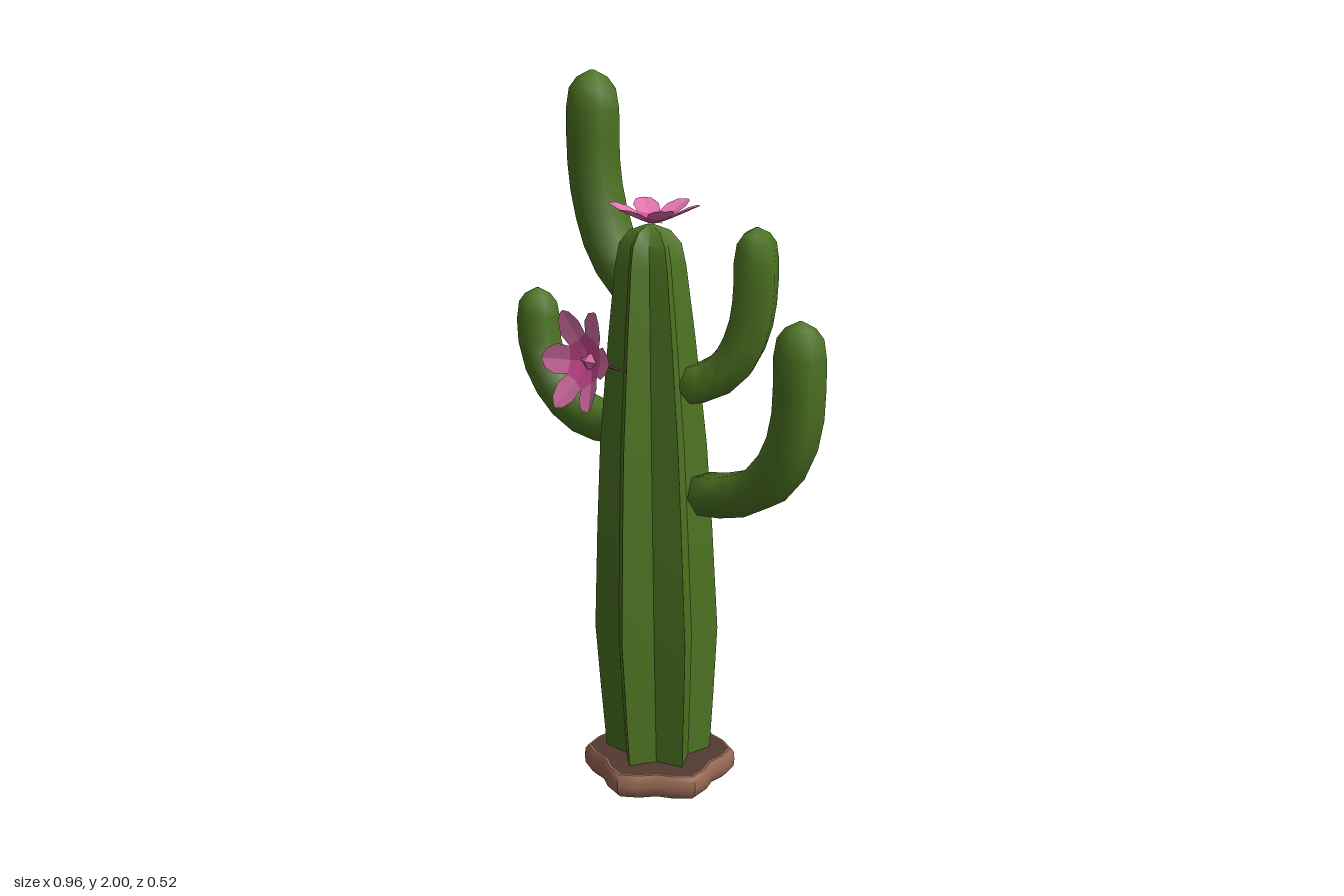
import * as THREE from 'three';
import { toCreasedNormals } from 'three/addons/utils/BufferGeometryUtils.js';

const mat = (name, color, extra = {}) =>
  Object.assign(new THREE.MeshStandardMaterial({ color, ...extra }), { name });

// Skin a list of closed rings (arrays of Vector3) and cap both ends.
function loft(rings) {
  const n = rings[0].length, pos = [], idx = [];
  rings.forEach(r => r.forEach(p => pos.push(p.x, p.y, p.z)));
  for (let i = 0; i < rings.length - 1; i++) {
    for (let j = 0; j < n; j++) {
      const a = i * n + j, b = i * n + (j + 1) % n;
      idx.push(a, b, a + n, b, b + n, a + n);
    }
  }
  [0, rings.length - 1].forEach((ri, end) => {
    const c = rings[ri].reduce((s, p) => s.add(p), new THREE.Vector3()).divideScalar(n);
    const k = pos.length / 3;
    pos.push(c.x, c.y, c.z);
    for (let j = 0; j < n; j++) {
      const a = ri * n + j, b = ri * n + (j + 1) % n;
      if (end) idx.push(k, a, b); else idx.push(k, b, a);
    }
  });
  const g = new THREE.BufferGeometry();
  g.setAttribute('position', new THREE.Float32BufferAttribute(pos, 3));
  g.setIndex(idx);
  g.computeVertexNormals();
  return g;
}

// Horizontal ring whose radius depends on the angle; ribs sit at 20 + 60k degrees.
function ribRing(n, cx, y, cz, radius) {
  return Array.from({ length: n }, (_, j) => {
    const a = j / n * Math.PI * 2, t = a - Math.PI / 9, r = radius(a, j);
    return new THREE.Vector3(cx + r * Math.cos(t), y, cz - r * Math.sin(t));
  });
}

// Six-sided arm bent along a curve, with a domed tip.
function armGeometry(points, radius) {
  const curve = new THREE.CatmullRomCurve3(points.map(p => new THREE.Vector3(...p)));
  const first = points[0], last = points[points.length - 1];
  const side = new THREE.Vector3(last[0] - first[0], 0, last[2] - first[2])
    .normalize().cross(new THREE.Vector3(0, 1, 0));
  const ring = (c, t, r) => {
    const v = t.clone().cross(side).normalize();
    return Array.from({ length: 6 }, (_, j) => {
      const a = j / 6 * Math.PI * 2;
      return c.clone().addScaledVector(side, r * Math.cos(a)).addScaledVector(v, r * Math.sin(a));
    });
  };
  const rings = [];
  for (let i = 0; i <= 8; i++) {
    rings.push(ring(curve.getPointAt(i / 8), curve.getTangentAt(i / 8), radius * (0.9 + 0.1 * Math.min(1, i / 3))));
  }
  const end = new THREE.Vector3(...last), up = new THREE.Vector3(0, 1, 0);
  [[0.75, 0.88], [1.15, 0.58], [1.4, 0.08]].forEach(([h, r]) =>
    rings.push(ring(end.clone().addScaledVector(up, h * radius), up, r * radius)));
  return loft(rings);
}

// One folded strip of a petal; rows are [distance, half width, lift].
function petalGeometry(rows) {
  const pos = [], idx = [];
  rows.forEach(([d, w, h]) => pos.push(d, -w, h + w * 0.2, d, 0, h, d, w, h + w * 0.2));
  for (let i = 0; i < rows.length - 1; i++) {
    for (let j = 0; j < 2; j++) {
      const a = i * 3 + j;
      idx.push(a, a + 3, a + 1, a + 1, a + 3, a + 4);
    }
  }
  const g = new THREE.BufferGeometry();
  g.setAttribute('position', new THREE.Float32BufferAttribute(pos, 3));
  g.setIndex(idx);
  const flat = g.toNonIndexed();
  flat.computeVertexNormals();
  return flat;
}

export function createModel() {
  const green = mat('cactusGreen', 0x4d7322);
  const clay = mat('clayBrown', 0x996953);
  const soilBrown = mat('soilBrown', 0x523a31, { side: THREE.DoubleSide });
  const pink = mat('petalPink', 0xe074ac, { side: THREE.DoubleSide });
  const magenta = mat('petalMagenta', 0xd44c99, { side: THREE.DoubleSide });

  const model = new THREE.Group();
  const add = (name, geometry, material, parent = model) => {
    const m = new THREE.Mesh(geometry, material);
    m.name = name;
    parent.add(m);
    return m;
  };

  // Lobed base slab with a soil top
  const lobe = k => a => k * (0.202 + 0.018 * Math.cos(6 * a));
  const slab = [[0, 0.93], [0.012, 0.99], [0.035, 1], [0.058, 0.99], [0.07, 0.95], [0.07, 0.92]];
  add('base', toCreasedNormals(loft(slab.map(([y, k]) => ribRing(24, -0.008, y, -0.047, lobe(k)))), 0.8), clay);
  add('soil', loft([0.066, 0.072].map(y => ribRing(24, -0.008, y, -0.047, lobe(0.92)))), soilBrown);

  // Ribbed trunk: [height, rib radius]
  const profile = [[0.06, 0.15], [0.25, 0.163], [0.45, 0.175], [0.75, 0.162], [1.0, 0.148],
    [1.3, 0.119], [1.5, 0.096], [1.56, 0.084], [1.595, 0.055], [1.61, 0.012]];
  const trunk = profile.map(([y, r]) => ribRing(12, -0.012 - 0.012 * y, y, -0.047 + 0.01 * y,
    (a, j) => (j % 2 ? 0.68 : 1) * r));
  add('trunk', toCreasedNormals(loft(trunk), 0.7), green);

  // Arms
  const arms = {
    tallRightArm: [[[-0.06, 1.42, -0.06], [-0.13, 1.44, -0.06], [-0.2, 1.52, -0.06],
      [-0.245, 1.64, -0.055], [-0.263, 1.76, -0.052], [-0.263, 1.895, -0.05]], 0.074],
    lowRightArm: [[[-0.08, 1.04, -0.04], [-0.19, 1.03, -0.02], [-0.29, 1.055, -0.005],
      [-0.37, 1.12, 0.005], [-0.42, 1.21, 0.01], [-0.43, 1.3, 0.01]], 0.062],
    highLeftArm: [[[0.03, 1.17, -0.09], [0.1, 1.185, -0.13], [0.155, 1.24, -0.165],
      [0.19, 1.33, -0.185], [0.205, 1.42, -0.19], [0.207, 1.52, -0.19]], 0.064],
    lowLeftArm: [[[0.09, 0.86, -0.11], [0.2, 0.88, -0.115], [0.3, 0.925, -0.12],
      [0.375, 1.02, -0.125], [0.406, 1.14, -0.13], [0.408, 1.3, -0.13]], 0.07],
  };
  for (const [name, [points, radius]] of Object.entries(arms)) add(name, armGeometry(points, radius), green);

  // Flowers: six cupped petals with a deeper throat and a pale heart
  const throat = petalGeometry([[0.005, 0.008, 0], [0.035, 0.024, 0.008], [0.065, 0.037, 0.019]]);
  const blade = petalGeometry([[0.065, 0.037, 0.019], [0.1, 0.042, 0.033], [0.132, 0.027, 0.047], [0.148, 0.006, 0.053]]);
  function flower(name, spin) {
    const f = new THREE.Group();
    f.name = name;
    for (let i = 0; i < 6; i++) {
      const petal = new THREE.Group();
      petal.name = 'petal';
      petal.rotation.z = spin + i * Math.PI / 3;
      add('petalThroat', throat, magenta, petal);
      add('petalBlade', blade, pink, petal);
      f.add(petal);
    }
    const heart = add('flowerHeart', new THREE.ConeGeometry(0.026, 0.02, 4).toNonIndexed(), pink, f);
    heart.geometry.computeVertexNormals();
    heart.rotation.x = Math.PI / 2;
    heart.scale.x = 1.5;
    heart.position.z = 0.014;
    model.add(f);
    return f;
  }
  const front = flower('frontFlower', 0.1);
  front.position.set(-0.058, 1.265, 0.17);
  front.rotation.set(-0.2, -0.15, 0);

  const top = flower('topFlower', 0.5);
  top.position.set(-0.022, 1.613, -0.035);
  top.rotation.x = -Math.PI / 2;
  top.scale.set(0.83, 0.88, 0.95);

  // Thin flat stalk of the front flower
  const stalk = add('flowerStalk', new THREE.BoxGeometry(0.045, 0.006, 0.11), soilBrown);
  stalk.position.set(-0.045, 1.245, 0.12);
  stalk.rotation.set(-0.38, -0.2, 0);

  return model;
}
